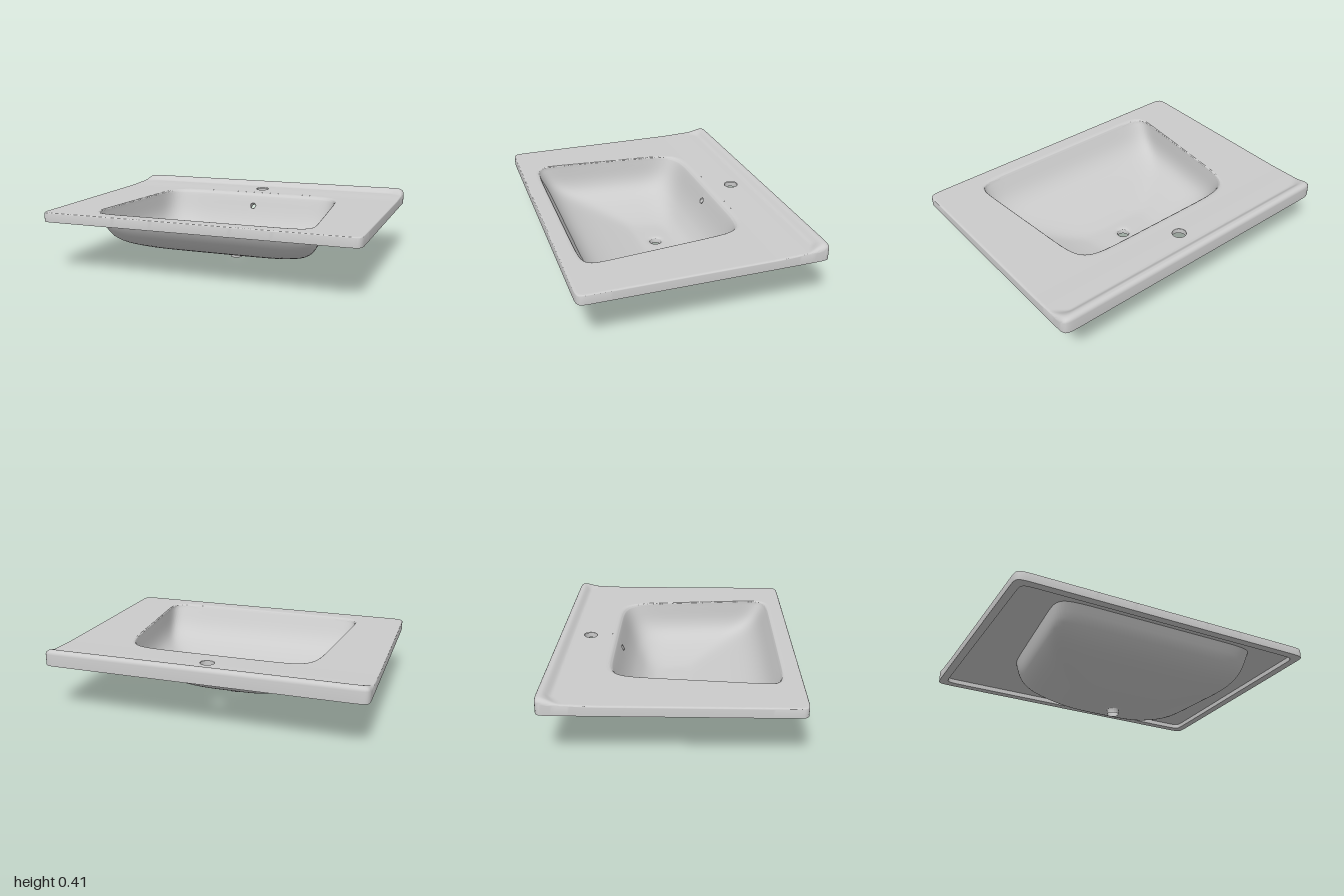
import * as THREE from 'three';
import { toCreasedNormals } from 'three/addons/utils/BufferGeometryUtils.js';

const SIDE = 96, N = SIDE * 4;
const material = new THREE.MeshStandardMaterial({ color: 0xcccccc, side: THREE.DoubleSide });
const smooth = THREE.MathUtils.smoothstep;

// Point k of a rounded rectangle: n = 2 is an ellipse, higher n is squarer.
// Taper narrows the back and tightens the front corners.
function ringPoint(k, y, w, zFront, zBack, n, taper = 0) {
  const t = (k % SIDE) / SIDE * 2 - 1;
  let [x, z] = [[t, 1], [1, -t], [-t, -1], [-1, t]][Math.floor(k / SIDE)];
  const power = z > 0 ? n * (1 + 3.5 * taper) : n;
  const len = Math.pow(Math.abs(x) ** power + Math.abs(z) ** power, 1 / power);
  x /= len;
  z /= len;
  return new THREE.Vector3(
    w * x * (1 - taper * (1 - z) / 2), y,
    (zFront + zBack) / 2 + (zFront - zBack) / 2 * z);
}
const ring = (fn) => Array.from({ length: N }, (_, k) => fn(k));

// Skin a list of rings, cutting round holes and snapping their rims to a circle
function loft(name, rings, holes = [], crease = 0.6) {
  const pts = rings.flat().map((p) => p.clone());
  let tris = [];
  for (let i = 0; i < rings.length - 1; i++) {
    for (let k = 0; k < N; k++) {
      const a = i * N + k, c = i * N + (k + 1) % N;
      tris.push([a, a + N, c], [c, a + N, c + N]);
    }
  }
  for (const { center, axis, radius } of holes) {
    const offset = pts.map((p) => {
      const d = p.clone().sub(center);
      const along = d.dot(axis);
      return { along, out: d.addScaledVector(axis, -along) };
    });
    const inside = offset.map((o) => Math.abs(o.along) < 0.1 && o.out.length() < radius);
    const rim = new Set();
    tris = tris.filter((tri) => {
      const cut = tri.some((v) => inside[v]);
      if (cut) tri.forEach((v) => rim.add(v));
      return !cut;
    });
    for (const v of rim) {
      if (inside[v]) continue;
      pts[v].copy(center).addScaledVector(axis, offset[v].along)
        .add(offset[v].out.setLength(radius));
    }
  }
  const geometry = new THREE.BufferGeometry().setFromPoints(pts);
  geometry.setIndex(tris.flat());
  const mesh = new THREE.Mesh(toCreasedNormals(geometry, crease), material);
  mesh.name = name;
  return mesh;
}

// Open pipe between two points
function pipe(name, from, to, radius) {
  const axis = to.clone().sub(from);
  const mesh = new THREE.Mesh(
    new THREE.CylinderGeometry(radius, radius, axis.length(), 32, 1, true), material);
  mesh.position.copy(from).addScaledVector(axis, 0.5);
  mesh.quaternion.setFromUnitVectors(new THREE.Vector3(0, 1, 0), axis.normalize());
  mesh.name = name;
  return mesh;
}

// Bowl sections from drain to rim: y, half width, front z, back z, squareness
const SECTIONS = [
  [0.025, 0.037, 0.017, -0.057, 2],
  [0.034, 0.042, 0.022, -0.062, 2],
  [0.039, 0.070, 0.045, -0.080, 2],
  [0.041, 0.210, 0.090, -0.130, 3],
  [0.051, 0.300, 0.140, -0.165, 4],
  [0.077, 0.425, 0.245, -0.212, 4.5],
  [0.120, 0.570, 0.390, -0.257, 5],
  [0.170, 0.650, 0.500, -0.295, 6],
  [0.240, 0.688, 0.575, -0.332, 7],
  [0.345, 0.702, 0.634, -0.374, 8],
  [0.363, 0.703, 0.643, -0.386, 8],
  [0.372, 0.705, 0.652, -0.399, 8],
  [0.375, 0.709, 0.670, -0.420, 8],
];
const PANEL = 9, STEPS = 4;
const taperAt = (w) => 0.14 * smooth(w, 0.07, 0.3);
const sectionRing = ([y, w, f, b, n]) => ring((k) => ringPoint(k, y, w, f, b, n, taperAt(w)));

function bowlRings() {
  const curve = (pick) => new THREE.CatmullRomCurve3(
    SECTIONS.map((s) => new THREE.Vector3(...pick(s))), false, 'catmullrom');
  const size = curve((s) => [s[0], s[1], s[4]]);
  const depth = curve((s) => [s[2], s[3], 0]);
  const count = (SECTIONS.length - 1) * STEPS;
  const rings = [sectionRing([0, 0.037, 0.017, -0.057, 2])];
  for (let i = 0; i <= count; i++) {
    const a = size.getPoint(i / count), d = depth.getPoint(i / count);
    rings.push(sectionRing([a.x, a.y, d.x, d.y, Math.max(2, a.z)]));
  }
  return rings;
}

// Raised back ledge: steep along the middle, a longer sweep at both ends
const ridge = ({ x, z }) => {
  const end = smooth(Math.abs(x), 0.9, 1);
  return smooth(-z, 0.665 - 0.065 * end, 0.722 + 0.01 * end);
};
const deckY = (p) => 0.375 + 0.006 * smooth(-p.z, 0.4, 0.62) + 0.032 * ridge(p);
const outerPoint = (k, y, inset) =>
  ringPoint(k, y, 1 - inset, 0.755 - inset, -0.755 + inset, 45);
const edgeRadius = (k) => 0.008 + 0.018 * ridge(outerPoint(k, 0, 0));

function deckRings(opening) {
  const rings = [];
  const across = 36;
  for (let i = 0; i <= across; i++) {
    rings.push(ring((k) => {
      const p = opening[k].clone().lerp(outerPoint(k, 0.375, edgeRadius(k)), i / across);
      p.y = deckY(p);
      return p;
    }));
  }
  // Rounded edge, then the straight outer wall
  for (let i = 1; i <= 5; i++) {
    const a = i / 5 * Math.PI / 2;
    rings.push(ring((k) => {
      const r = edgeRadius(k);
      const top = deckY(outerPoint(k, 0, r));
      return outerPoint(k, top - r * (1 - Math.cos(a)), r * (1 - Math.sin(a)));
    }));
  }
  rings.push(ring((k) => outerPoint(k, 0.315, 0)));
  return rings;
}

// Flat border, step up, recessed panel reaching in to the bowl
function undersideRings() {
  const bowlEdge = sectionRing(SECTIONS[PANEL]);
  const panelY = SECTIONS[PANEL][0];
  const rings = [
    ring((k) => outerPoint(k, 0.315, 0)),
    ring((k) => outerPoint(k, 0.315, 0.05)),
  ];
  for (let i = 0; i <= 20; i++) {
    rings.push(ring((k) => outerPoint(k, panelY, 0.05).lerp(bowlEdge[k], i / 20)));
  }
  return rings;
}

export function createModel() {
  const group = new THREE.Group();
  group.name = 'washbasin';

  const tapHole = {
    center: new THREE.Vector3(0, 0.36, -0.561),
    axis: new THREE.Vector3(0, 1, 0), radius: 0.044,
  };
  const overflow = {
    center: new THREE.Vector3(0, 0.291, -0.35),
    axis: new THREE.Vector3(0, -0.45, -0.89).normalize(), radius: 0.02,
  };

  const bowl = bowlRings();
  group.add(loft('bowl', bowl, [overflow], 0.9));
  group.add(loft('deck', deckRings(bowl[bowl.length - 1]), [tapHole]));
  group.add(loft('underside', undersideRings(), [tapHole]));

  group.add(pipe('tapHoleWall', new THREE.Vector3(0, SECTIONS[PANEL][0], -0.561),
    new THREE.Vector3(0, 0.378, -0.561), tapHole.radius));
  group.add(pipe('overflowOutlet', overflow.center,
    overflow.center.clone().addScaledVector(overflow.axis, 0.042), overflow.radius));
  return group;
}
